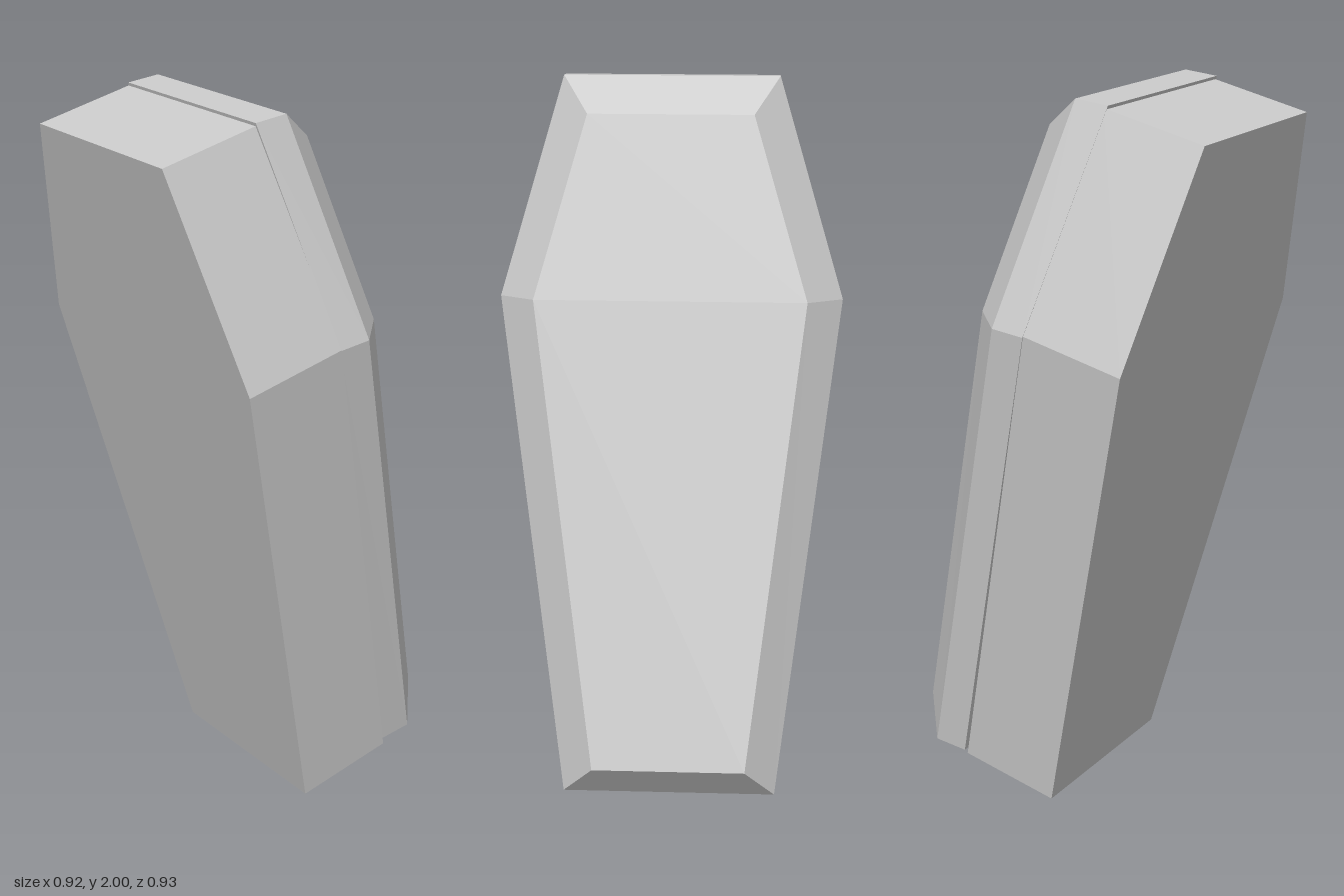
import * as THREE from 'three';

// Six-sided coffin outline at one depth; each row is [depth, height, z at -z side, z at +z side]
function outline(foot, shoulder, head) {
  const rows = [foot, shoulder, head];
  const near = rows.map(([d, h, zMin]) => [d, h, zMin]);
  const far = rows.map(([d, h, , zMax]) => [d, h, zMax]).reverse();
  return [...near, ...far];
}

// Joins outlines ordered along the depth axis into a closed faceted solid
function loft(name, loops, material) {
  const positions = loops.flat(2);
  const n = loops[0].length;
  const index = [];
  for (let l = 0; l < loops.length - 1; l++) {
    for (let i = 0; i < n; i++) {
      const a = l * n + i;
      const b = l * n + (i + 1) % n;
      index.push(a, b, b + n, a, b + n, a + n);
    }
  }
  // End caps, as foot and head quads
  const last = (loops.length - 1) * n;
  for (const [a, b, c] of [[0, 1, 4], [0, 4, 5], [1, 2, 3], [1, 3, 4]]) {
    index.push(a, c, b, last + a, last + b, last + c);
  }
  const indexed = new THREE.BufferGeometry();
  indexed.setAttribute('position', new THREE.Float32BufferAttribute(positions, 3));
  indexed.setIndex(index);
  const geometry = indexed.toNonIndexed();
  geometry.computeVertexNormals();
  const mesh = new THREE.Mesh(geometry, material);
  mesh.name = name;
  return mesh;
}

export function createModel() {
  const model = new THREE.Group();
  model.name = 'leaningCoffin';
  const material = new THREE.MeshStandardMaterial({ color: 0xcccccc, flatShading: true });

  // Straight-sided box
  const boxOutline = (d) => outline(
    [d, 0, -0.29, 0.29], [d, 1.384, -0.465, 0.465], [d, 1.969, -0.292, 0.292]);
  model.add(loft('coffinBox', [boxOutline(0), boxOutline(0.295)], material));

  // Lid sitting slightly askew: upright rim, then a bevel up to the flat face
  model.add(loft('coffinLid', [
    outline([0.301, 0.013, -0.3, 0.283], [0.294, 1.381, -0.467, 0.462], [0.285, 1.978, -0.29, 0.296]),
    outline([0.397, 0.003, -0.302, 0.281], [0.387, 1.37, -0.467, 0.462], [0.38, 1.966, -0.29, 0.294]),
    outline([0.488, 0.083, -0.22, 0.197], [0.481, 1.36, -0.37, 0.364], [0.476, 1.855, -0.222, 0.223]),
  ], material));

  // Lean the whole coffin back
  model.rotation.z = 0.2358;
  return model;
}
